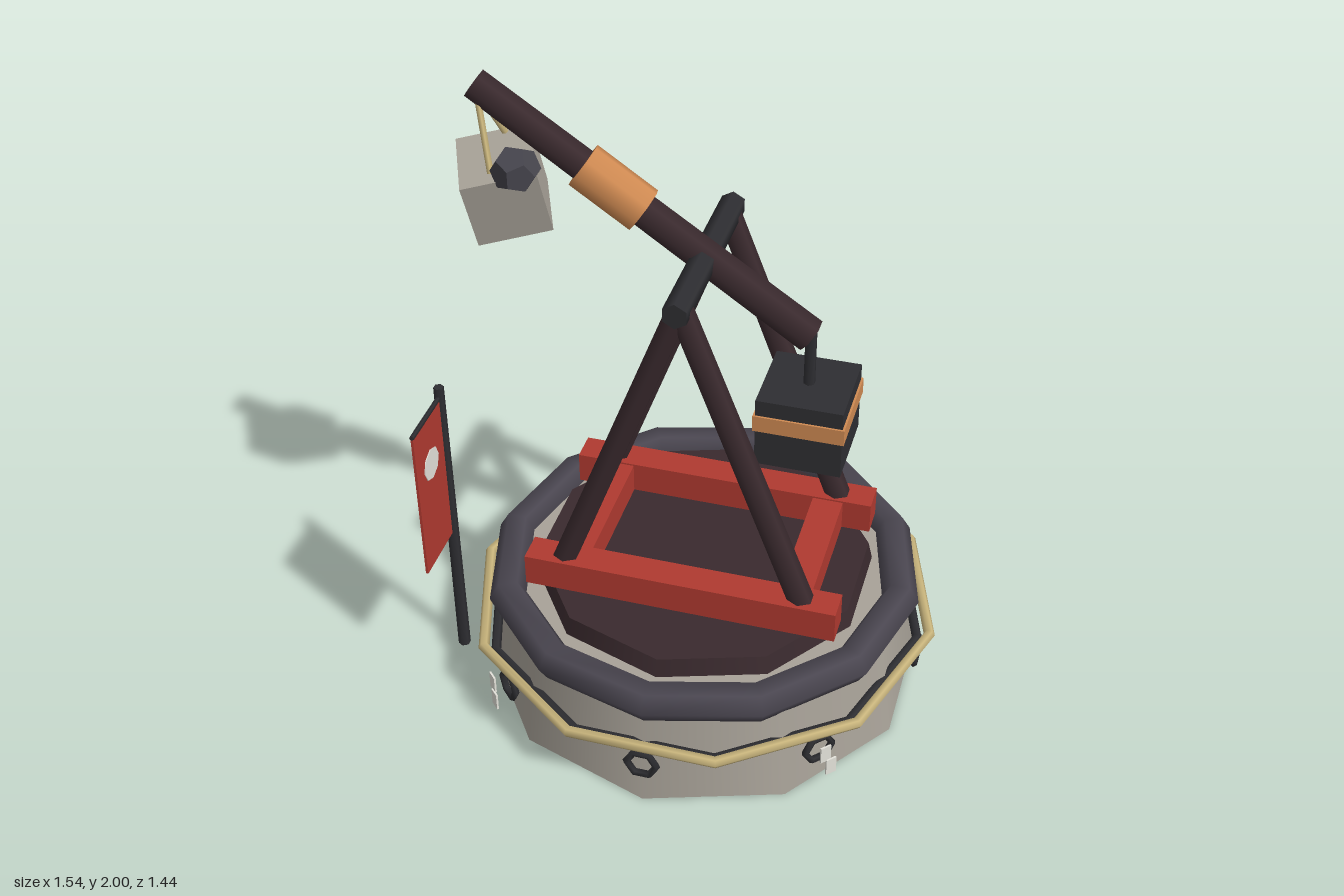
import * as THREE from 'three';

const mat = (color, opts = {}) => new THREE.MeshStandardMaterial({ color, ...opts });
const stone = mat(0xa8a298);
const wood = mat(0x3a2a2e);
const iron = mat(0x2e2e32);
const cord = mat(0x4a4650);
const red = mat(0xb03a30);
const straw = mat(0xc8b47c);
const copper = mat(0xcf8a52);
const paper = mat(0xe4e2da);
const rock = mat(0x45444c, { flatShading: true });

export function createModel() {
  const model = new THREE.Group();
  model.name = 'counterweightCrane';
  const body = new THREE.Group();
  body.name = 'crane';
  body.position.x = 0.013;
  model.add(body);

  const add = (name, geo, material, x = 0, y = 0, z = 0, parent = body) => {
    const m = new THREE.Mesh(geo, material);
    m.name = name;
    m.position.set(x, y, z);
    parent.add(m);
    return m;
  };
  const box = (name, w, h, d, material, x, y, z, parent) =>
    add(name, new THREE.BoxGeometry(w, h, d), material, x, y, z, parent);
  const drum = (name, rTop, rBottom, y0, y1, sides, material) =>
    add(name, new THREE.CylinderGeometry(rTop, rBottom, y1 - y0, sides), material, 0, (y0 + y1) / 2);
  const hoop = (name, r, tube, sides, segs, y, material) => {
    const m = add(name, new THREE.TorusGeometry(r, tube, sides, segs), material, 0, y);
    m.rotation.x = Math.PI / 2;
  };
  // Cylinder running from point a to point b
  const beam = (name, a, b, rA, rB, sides, material, parent) => {
    const p = new THREE.Vector3(...a), q = new THREE.Vector3(...b);
    const dir = q.clone().sub(p);
    const m = add(name, new THREE.CylinderGeometry(rB, rA, dir.length(), sides), material, 0, 0, 0, parent);
    m.position.copy(p).add(q).multiplyScalar(0.5);
    m.quaternion.setFromUnitVectors(new THREE.Vector3(0, 1, 0), dir.normalize());
    return m;
  };

  // Stone base, padded rim and deck
  drum('stoneBase', 0.65, 0.7, 0, 0.36, 10, stone);
  hoop('rimPadding', 0.635, 0.06, 6, 12, 0.355, cord);
  drum('deck', 0.525, 0.543, 0.34, 0.42, 10, wood);
  hoop('ironHoop', 0.7, 0.016, 6, 10, 0.205, iron);
  hoop('strawRope', 0.738, 0.018, 6, 10, 0.23, straw);

  // Iron rings around the base, with paper strips on the diagonals
  for (let i = 0; i < 8; i++) {
    const station = new THREE.Group();
    station.name = 'ringStation';
    station.rotation.y = (i * Math.PI) / 4;
    body.add(station);
    add('ironRing', new THREE.TorusGeometry(0.047, 0.012, 5, 6), iron, 0, 0.155, 0.7, station);
    if (i % 2) {
      box('paperStripUpper', 0.035, 0.06, 0.006, paper, -0.008, 0.18, 0.75, station);
      box('paperStripLower', 0.035, 0.06, 0.006, paper, 0.01, 0.125, 0.755, station);
    }
  }

  // Red ground frame
  for (const s of [-1, 1]) {
    box('frameRail', 0.98, 0.105, 0.097, red, 0, 0.475, s * 0.262);
    box('frameCrossbeam', 0.098, 0.1, 0.44, red, s * 0.35, 0.472, 0);
  }

  // A-frame legs and axle
  for (const z of [-0.26, 0.26])
    for (const s of [-1, 1])
      beam('supportLeg', [s * 0.388, 0.48, z], [0, 1.51, z], 0.04, 0.036, 6, wood);
  const axle = add('axle', new THREE.CylinderGeometry(0.04, 0.04, 0.625, 6), iron, 0, 1.51, 0);
  axle.rotation.x = Math.PI / 2;

  // Tilted throwing arm with a copper sleeve
  const low = new THREE.Vector3(0.317, 1.3, 0), tip = new THREE.Vector3(-0.667, 1.968, 0);
  const along = (t) => low.clone().lerp(tip, t).toArray();
  beam('arm', along(0), along(1), 0.052, 0.045, 6, wood);
  beam('armSleeve', along(0.505), along(0.683), 0.07, 0.07, 8, copper);

  // Counterweight on its hanger
  beam('counterweightHanger', [0.317, 1.12, 0], [0.317, 1.31, 0], 0.018, 0.018, 6, iron);
  box('counterweight', 0.26, 0.228, 0.26, iron, 0.317, 1.02, 0);
  box('counterweightBand', 0.273, 0.053, 0.273, copper, 0.317, 1.055, 0);

  // Stone load slung from the tip
  const load = box('stoneLoad', 0.22, 0.22, 0.22, stone, -0.596, 1.655, 0);
  load.rotation.set(0.22, 0.4, 0.1);
  for (const s of [-1, 1])
    beam('slingRope', [-0.655, 1.93, s * 0.01], [-0.596, 1.73, s * 0.095], 0.01, 0.01, 5, straw);
  add('looseRock', new THREE.DodecahedronGeometry(0.072), rock, -0.523, 1.765, 0.09);

  // Banner pole beside the base
  const banner = new THREE.Group();
  banner.name = 'banner';
  banner.position.set(-0.755, 0, 0.21);
  model.add(banner);
  beam('bannerPole', [0, 0, 0], [0, 1.05, 0], 0.02, 0.016, 6, iron, banner);
  beam('bannerCrossbar', [0, 1.015, 0], [0, 1.015, 0.215], 0.008, 0.008, 5, iron, banner);
  box('bannerCloth', 0.008, 0.525, 0.21, red, 0, 0.752, 0.11, banner);
  const disc = add('bannerDisc', new THREE.CylinderGeometry(0.053, 0.053, 0.014, 8), paper, 0, 0.845, 0.113, banner);
  disc.rotation.z = Math.PI / 2;

  return model;
}
